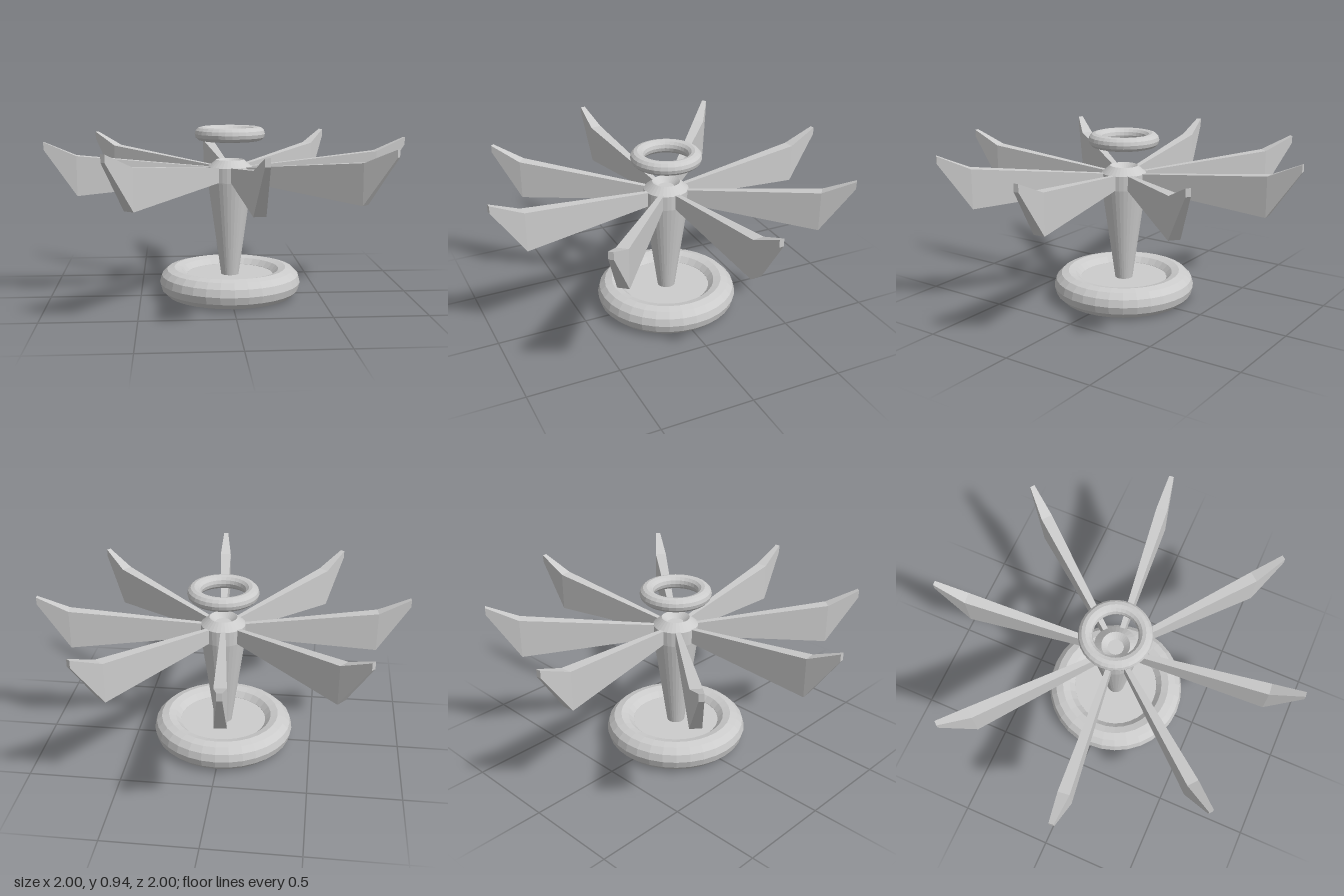
import * as THREE from 'three';

const material = new THREE.MeshStandardMaterial({ color: 0xcccccc, flatShading: true });

function addMesh(parent, name, geometry, y = 0) {
  const mesh = new THREE.Mesh(geometry, material);
  mesh.name = name;
  mesh.position.y = y;
  parent.add(mesh);
  return mesh;
}

// Horizontal ring
function ring(radius, tube) {
  return new THREE.TorusGeometry(radius, tube, 12, 32).rotateX(Math.PI / 2);
}

// Blade along +x: a box whose three cross-sections are reshaped
function bladeGeometry() {
  const sections = [
    { x: 0.09, bottom: 0.65, top: 0.725, width: 0.026 },
    { x: 0.833, bottom: 0.585, top: 0.8, width: 0.062 },
    { x: 1.004, bottom: 0.835, top: 0.875, width: 0.026 },
  ];
  const geometry = new THREE.BoxGeometry(2, 1, 1, 2, 1, 1);
  const p = geometry.attributes.position;
  for (let i = 0; i < p.count; i++) {
    const s = sections[Math.round(p.getX(i)) + 1];
    p.setXYZ(i, s.x, p.getY(i) > 0 ? s.top : s.bottom, p.getZ(i) * s.width);
  }
  geometry.computeVertexNormals();
  return geometry;
}

export function createModel() {
  const model = new THREE.Group();
  model.name = 'bladedStand';

  // Base: thick ring with a recessed disc
  addMesh(model, 'baseRing', ring(0.312, 0.081), 0.081);
  addMesh(model, 'baseDisc', new THREE.CylinderGeometry(0.25, 0.25, 0.075, 32), 0.0825);

  // Tapered column, hub and dished cap turned as one profile
  const profile = [
    [0, 0.1], [0.046, 0.1], [0.122, 0.645], [0.122, 0.725],
    [0.076, 0.765], [0.043, 0.735], [0, 0.735],
  ].map(([r, y]) => new THREE.Vector2(r, y));
  addMesh(model, 'columnAndHub', new THREE.LatheGeometry(profile, 32));

  // Eight blades around the hub
  const blades = new THREE.Group();
  blades.name = 'blades';
  model.add(blades);
  const geometry = bladeGeometry();
  for (let i = 0; i < 8; i++) {
    addMesh(blades, 'blade', geometry).rotation.y = 0.1 + (i * Math.PI) / 4;
  }

  // Floating ring above the hub
  addMesh(model, 'topRing', ring(0.155, 0.038), 0.907);

  return model;
}
